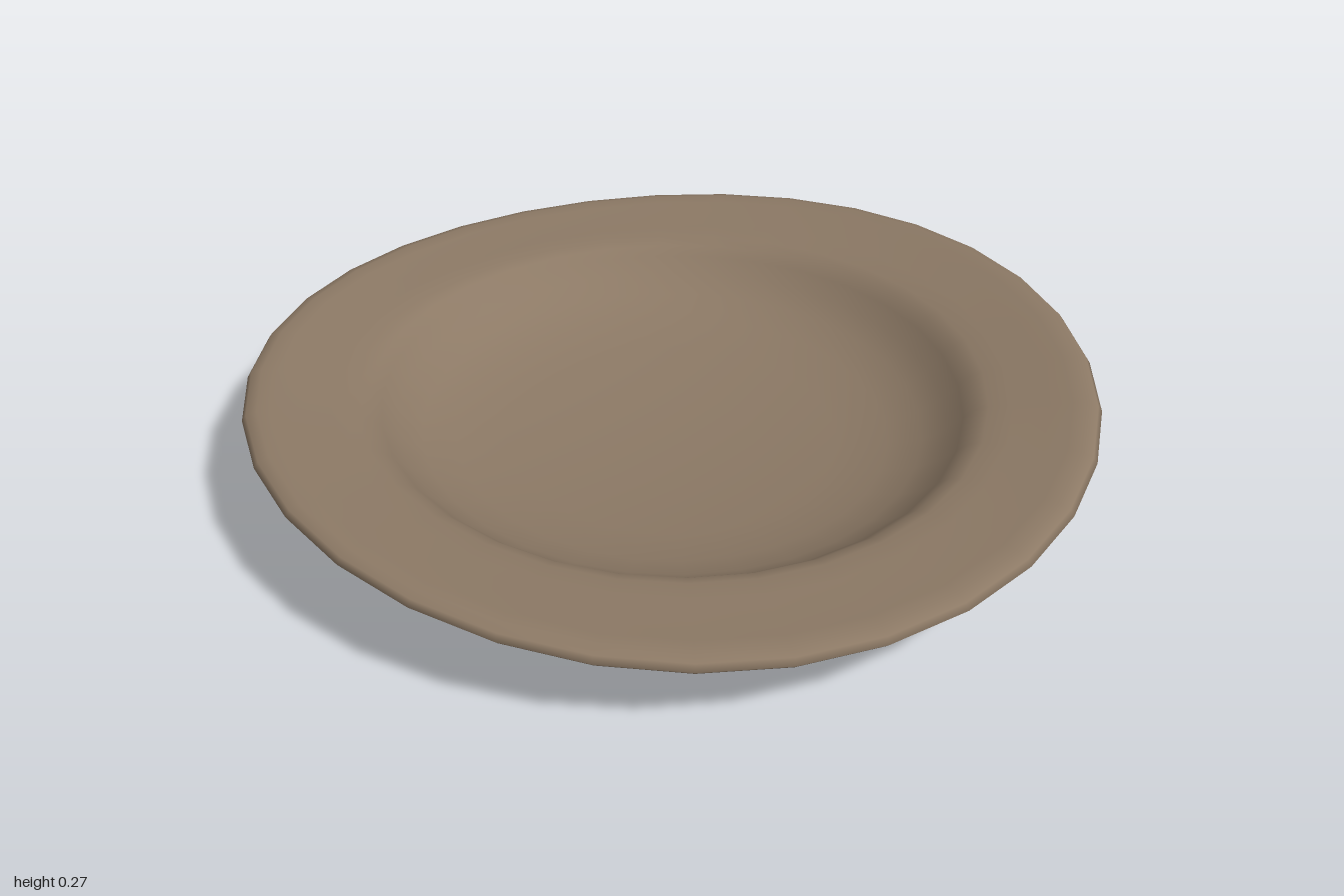
import * as THREE from 'three';
import { mergeVertices } from 'three/addons/utils/BufferGeometryUtils.js';

// [radius, height] from the underside centre, round the rim, to the bowl centre
const profile = [
  [0, 0.004], [0.25, 0.004], [0.48, 0.005], [0.55, 0.014], [0.585, 0.03], [0.61, 0.052],
  [0.65, 0.09], [0.71, 0.128], [0.79, 0.163], [0.88, 0.19], [0.96, 0.205], [0.988, 0.212],
  [1, 0.225], [0.99, 0.239], [0.965, 0.246], [0.93, 0.243], [0.88, 0.235], [0.8, 0.226],
  [0.745, 0.219], [0.715, 0.207], [0.69, 0.185], [0.655, 0.15], [0.6, 0.115], [0.52, 0.087],
  [0.4, 0.066], [0.2, 0.051], [0, 0.048],
];

// Warp the rim into a gentle saddle, as in hand-thrown clay
function warp(geometry) {
  const p = geometry.attributes.position;
  for (let i = 0; i < p.count; i++) {
    const x = p.getX(i), z = p.getZ(i), r = Math.hypot(x, z);
    const a = Math.atan2(z, x);
    const w = THREE.MathUtils.smoothstep(r, 0.55, 1);
    p.setY(i, p.getY(i) - w * (0.03 * Math.sin(2 * a) + 0.01 * Math.cos(2 * a)));
    p.setZ(i, z * 0.985);
  }
}

export function createModel() {
  const group = new THREE.Group();
  group.name = 'plate';
  const clay = new THREE.MeshStandardMaterial({ color: 0x8c7965 });
  clay.name = 'brown clay';

  let geometry = new THREE.LatheGeometry(profile.map(([r, y]) => new THREE.Vector2(r, y)), 32);
  warp(geometry);
  // Weld the seam so the shading stays smooth all the way round
  geometry.deleteAttribute('uv');
  geometry.deleteAttribute('normal');
  geometry = mergeVertices(geometry, 1e-5);
  geometry.computeVertexNormals();

  const dish = new THREE.Mesh(geometry, clay);
  dish.name = 'dish';
  group.add(dish);
  return group;
}
